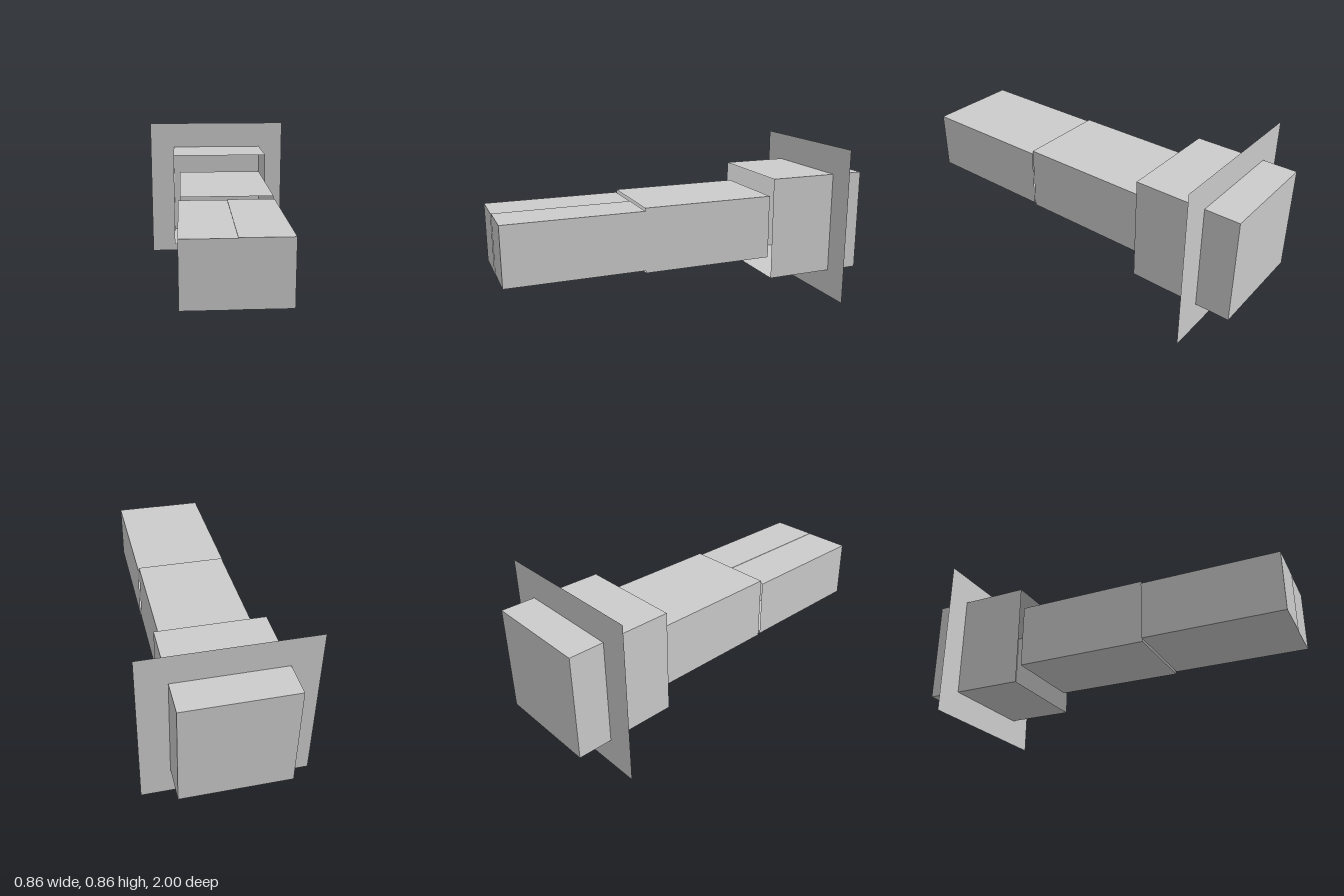
import * as THREE from 'three';

const material = new THREE.MeshStandardMaterial({
  color: 0xcccccc, flatShading: true, side: THREE.DoubleSide,
});

// Face order used by BoxGeometry
const FACES = ['left', 'right', 'top', 'bottom', 'front', 'back'];

// Thin-walled box given by its extents, without the faces listed in open
function shell(name, [x0, x1], [y0, y1], [z0, z1], open) {
  const geometry = new THREE.BoxGeometry(x1 - x0, y1 - y0, z1 - z0);
  const index = Array.from(geometry.index.array);
  geometry.setIndex(index.filter((_, i) => !open.includes(FACES[Math.floor(i / 6)])));
  geometry.clearGroups();
  geometry.translate((x0 + x1) / 2, (y0 + y1) / 2, (z0 + z1) / 2);
  const mesh = new THREE.Mesh(geometry, material);
  mesh.name = name;
  return mesh;
}

export function createModel() {
  const group = new THREE.Group();
  group.name = 'steppedArm';

  // Square housing, open towards the front
  group.add(shell('housing', [-0.28, 0.28], [0.15, 0.707], [-1, -0.447], ['front']));

  // Sleeve, open at both ends
  group.add(shell('sleeve', [-0.24, 0.24], [0.26, 0.606], [-0.447, 0.27], ['front', 'back']));

  // Front section: two halves sharing a centre wall, open towards the sleeve
  const tip = new THREE.Group();
  tip.name = 'frontSection';
  tip.add(
    shell('frontLeftHalf', [0, 0.245], [0.275, 0.591], [0.27, 0.998], ['back']),
    shell('frontRightHalf', [-0.25, 0], [0.275, 0.589], [0.27, 1], ['back', 'left']),
  );
  group.add(tip);

  // Flat square plate crossing the housing
  const plate = new THREE.Mesh(new THREE.PlaneGeometry(0.86, 0.862), material);
  plate.name = 'plate';
  plate.position.set(0, 0.431, -0.82);
  group.add(plate);

  return group;
}
